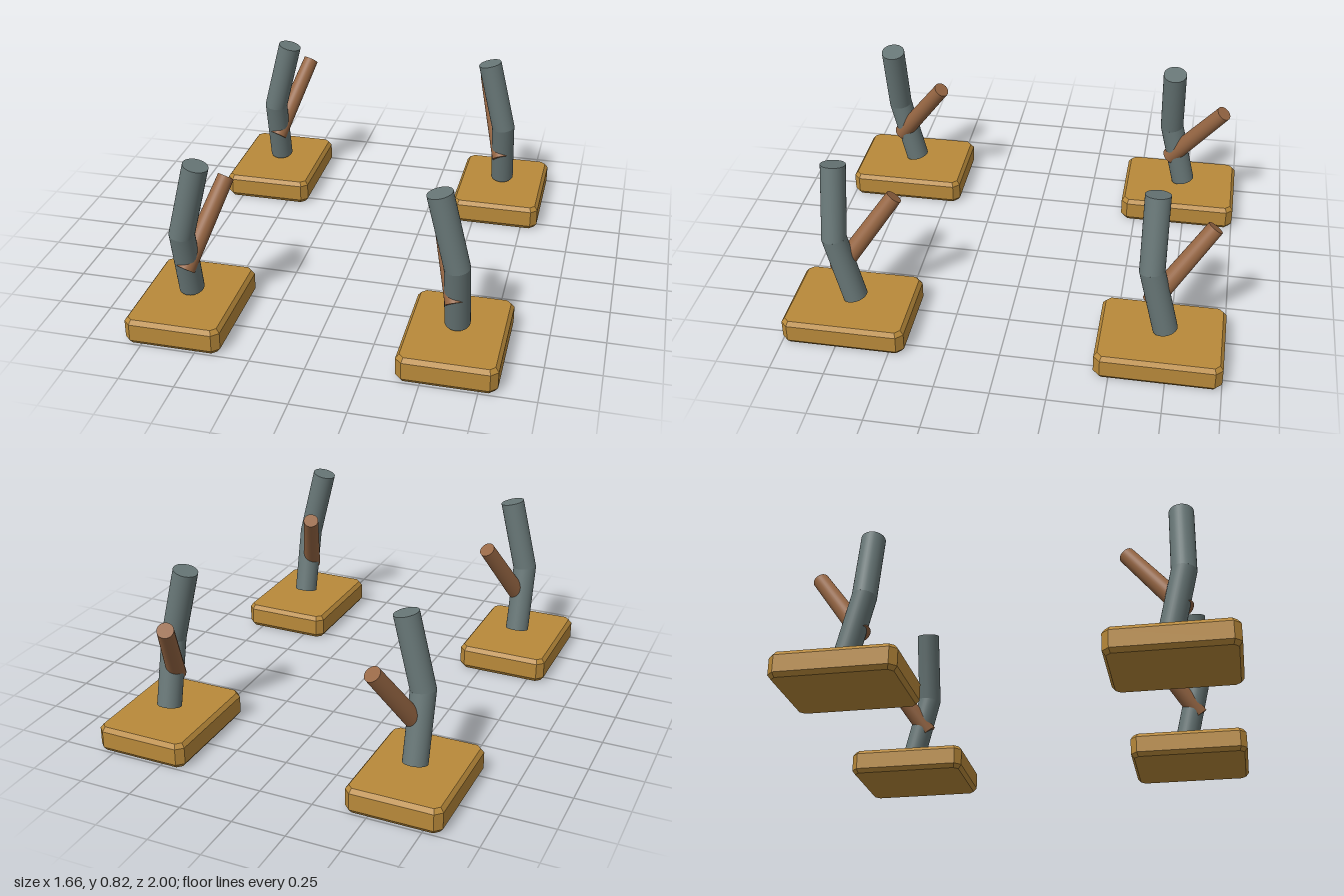
import * as THREE from 'three';

const wood = new THREE.MeshStandardMaterial({ color: 0xb8893a });
wood.name = 'ochreWood';
const slate = new THREE.MeshStandardMaterial({ color: 0x687777 });
slate.name = 'slateGrey';
const bark = new THREE.MeshStandardMaterial({ color: 0x966643 });
bark.name = 'brownBark';

function addMesh(parent, name, geometry, material) {
  const mesh = new THREE.Mesh(geometry, material);
  mesh.name = name;
  parent.add(mesh);
}

// Cylinder running from point a to point b
function rod(a, b, ra, rb) {
  const dir = b.clone().sub(a);
  const geo = new THREE.CylinderGeometry(rb, ra, dir.length(), 32);
  const turn = new THREE.Quaternion().setFromUnitVectors(new THREE.Vector3(0, 1, 0), dir.normalize());
  geo.applyQuaternion(turn);
  const mid = a.clone().add(b).multiplyScalar(0.5);
  return geo.translate(mid.x, mid.y, mid.z);
}

// Slide the end ring nearest the joint along the axis onto the mitre plane
function mitre(geo, joint, far, normal) {
  const axis = joint.clone().sub(far);
  const half = axis.length() / 2;
  axis.normalize();
  const pos = geo.attributes.position;
  const p = new THREE.Vector3();
  for (let i = 0; i < pos.count; i++) {
    p.fromBufferAttribute(pos, i);
    if (p.clone().sub(far).dot(axis) < half) continue;
    p.addScaledVector(axis, joint.clone().sub(p).dot(normal) / axis.dot(normal));
    pos.setXYZ(i, p.x, p.y, p.z);
  }
  return geo;
}

// Flat block with cut corners and bevelled rims, standing on y = 0
function baseGeometry() {
  const w = 0.205, d = 0.27, c = 0.022;
  const shape = new THREE.Shape([
    [w - c, -d], [w, c - d], [w, d - c], [w - c, d],
    [c - w, d], [-w, d - c], [-w, c - d], [c - w, -d],
  ].map(([x, y]) => new THREE.Vector2(x, y)));
  return new THREE.ExtrudeGeometry(shape, {
    depth: 0.08, bevelEnabled: true, bevelThickness: 0.02, bevelSize: 0.015, bevelSegments: 1,
  }).rotateX(-Math.PI / 2).translate(0, 0.02, 0);
}

// One stand; side = 1 for the left, -1 for the right
function createStand(side) {
  const stand = new THREE.Group();
  const at = (x, y, z) => new THREE.Vector3(x * side, y, z);
  addMesh(stand, 'base', baseGeometry(), wood);

  // Bent post made of two mitred lengths
  const foot = at(0, 0.145, -0.014);
  const knee = at(0, 0.462, 0.061);
  const top = at(-0.084, 0.805, 0.061);
  const normal = knee.clone().sub(foot).normalize().add(top.clone().sub(knee).normalize()).normalize();
  addMesh(stand, 'lowerPost', mitre(rod(foot, knee, 0.057, 0.057), knee, foot, normal), slate);
  addMesh(stand, 'upperPost', mitre(rod(knee, top, 0.057, 0.057), knee, top, normal), slate);

  // Tapered branch piercing the lower post
  addMesh(stand, 'branch', rod(at(-0.004, 0.28, 0.058), at(-0.125, 0.632, -0.194), 0.044, 0.038), bark);
  return stand;
}

export function createModel() {
  const model = new THREE.Group();
  model.name = 'fourStands';
  for (const side of [1, -1]) {
    for (const end of [1, -1]) {
      const stand = createStand(side);
      stand.name = (end > 0 ? 'front' : 'back') + (side > 0 ? 'Left' : 'Right') + 'Stand';
      stand.position.set(side * 0.61, 0, end * 0.715);
      model.add(stand);
    }
  }
  return model;
}
